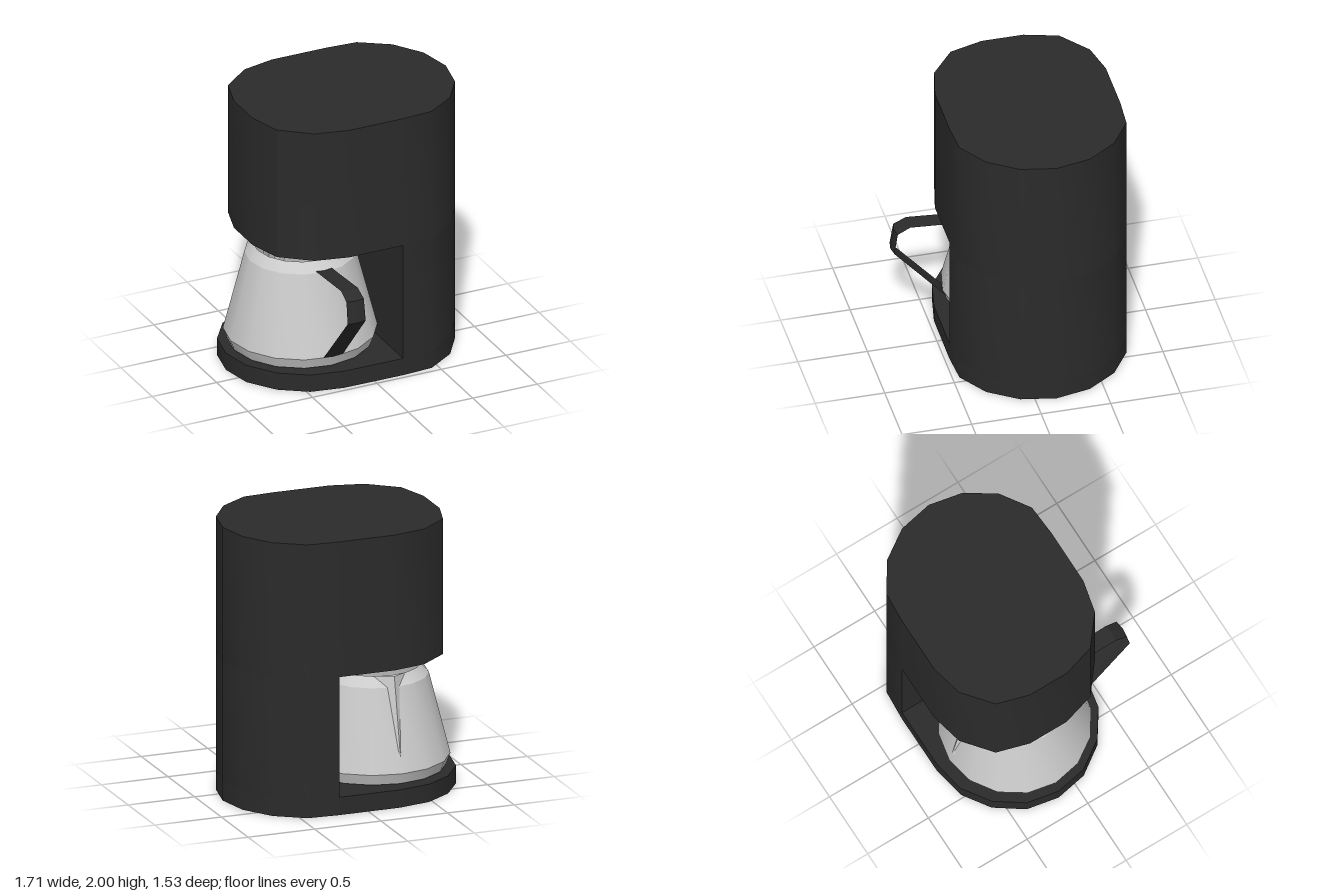
import * as THREE from 'three';
import { toCreasedNormals } from 'three/addons/utils/BufferGeometryUtils.js';

const CZ = -0.15; // depth of the shared centre line

const black = new THREE.MeshStandardMaterial({ color: 0x2b2b2b });
const blackThin = new THREE.MeshStandardMaterial({ color: 0x2b2b2b, side: THREE.DoubleSide });
const grey = new THREE.MeshStandardMaterial({ color: 0xcccccc, side: THREE.DoubleSide });

// Half outlines [x, distance from centre line], mirrored to both sides
const rightEnd = [[0.22, 0.615], [0.45, 0.6], [0.66, 0.46], [0.8, 0.25], [0.85, 0]];
const baseEnd = [[-0.855, 0], [-0.81, 0.235], [-0.67, 0.435], [-0.475, 0.567], [-0.235, 0.613]];
const headEnd = [[-0.72, 0.15], [-0.65, 0.39], [-0.44, 0.56], [-0.2, 0.615]];
const columnEnd = [];

function mesh(name, geometry, material) {
  const m = new THREE.Mesh(geometry, material);
  m.name = name;
  return m;
}

// Upright slab from a mirrored half outline
function slab(name, leftEnd, y0, y1) {
  const half = [...leftEnd, ...rightEnd];
  const mirrored = half.filter(([, d]) => d > 0).reverse().map(([x, d]) => [x, -d]);
  const shape = new THREE.Shape([...half, ...mirrored].map(([x, d]) => new THREE.Vector2(x, d)));
  const g = new THREE.ExtrudeGeometry(shape, { depth: y1 - y0, bevelEnabled: false });
  g.rotateX(-Math.PI / 2).translate(0, y0, CZ);
  return mesh(name, toCreasedNormals(g, 0.6), black);
}

function createCarafe() {
  const carafe = new THREE.Group();
  carafe.name = 'carafe';
  carafe.position.set(-0.28, 0, CZ);

  // Open-topped jug
  const profile = [[0, 0.14], [0.51, 0.14], [0.54, 0.22], [0.39, 0.81], [0.33, 0.88]];
  const jug = new THREE.LatheGeometry(profile.map(([r, y]) => new THREE.Vector2(r, y)), 16);
  carafe.add(mesh('jug', toCreasedNormals(jug, 0.43), grey));

  // Pouring spout: a ridge on the back, opposite the handle
  const left = [-0.12, 0.88, -0.305], right = [0.12, 0.88, -0.305], tip = [0, 0.895, -0.4];
  const lowLeft = [-0.07, 0.35, -0.49], lowRight = [0.07, 0.35, -0.49], low = [0, 0.33, -0.515];
  const faces = [left, tip, low, left, low, lowLeft, right, low, tip, right, lowRight, low];
  const spout = new THREE.BufferGeometry();
  spout.setAttribute('position', new THREE.Float32BufferAttribute(faces.flat(), 3));
  spout.computeVertexNormals();
  carafe.add(mesh('spout', spout, grey));

  // Handle: thin bent strip, slightly bowed across its width [y, z, half width]
  const rows = [[0.825, 0.39, 0.062], [0.855, 0.8, 0.064], [0.81, 0.89, 0.067],
    [0.65, 0.915, 0.07], [0.22, 0.54, 0.075]];
  const strip = new THREE.PlaneGeometry(1, 1, 2, rows.length - 1);
  const p = strip.attributes.position;
  for (let i = 0; i < p.count; i++) {
    const [y, z, w] = rows[Math.floor(i / 3)];
    const side = (i % 3) - 1;
    p.setXYZ(i, side * w, y, z - Math.abs(side) * 0.012);
  }
  carafe.add(mesh('handle', toCreasedNormals(strip, 0.4), blackThin));
  return carafe;
}

export function createModel() {
  const model = new THREE.Group();
  model.name = 'coffeeMaker';
  model.add(
    slab('base', baseEnd, 0, 0.13),
    slab('column', columnEnd, 0.13, 1.01),
    slab('head', headEnd, 1.01, 2),
    createCarafe(),
  );
  return model;
}
